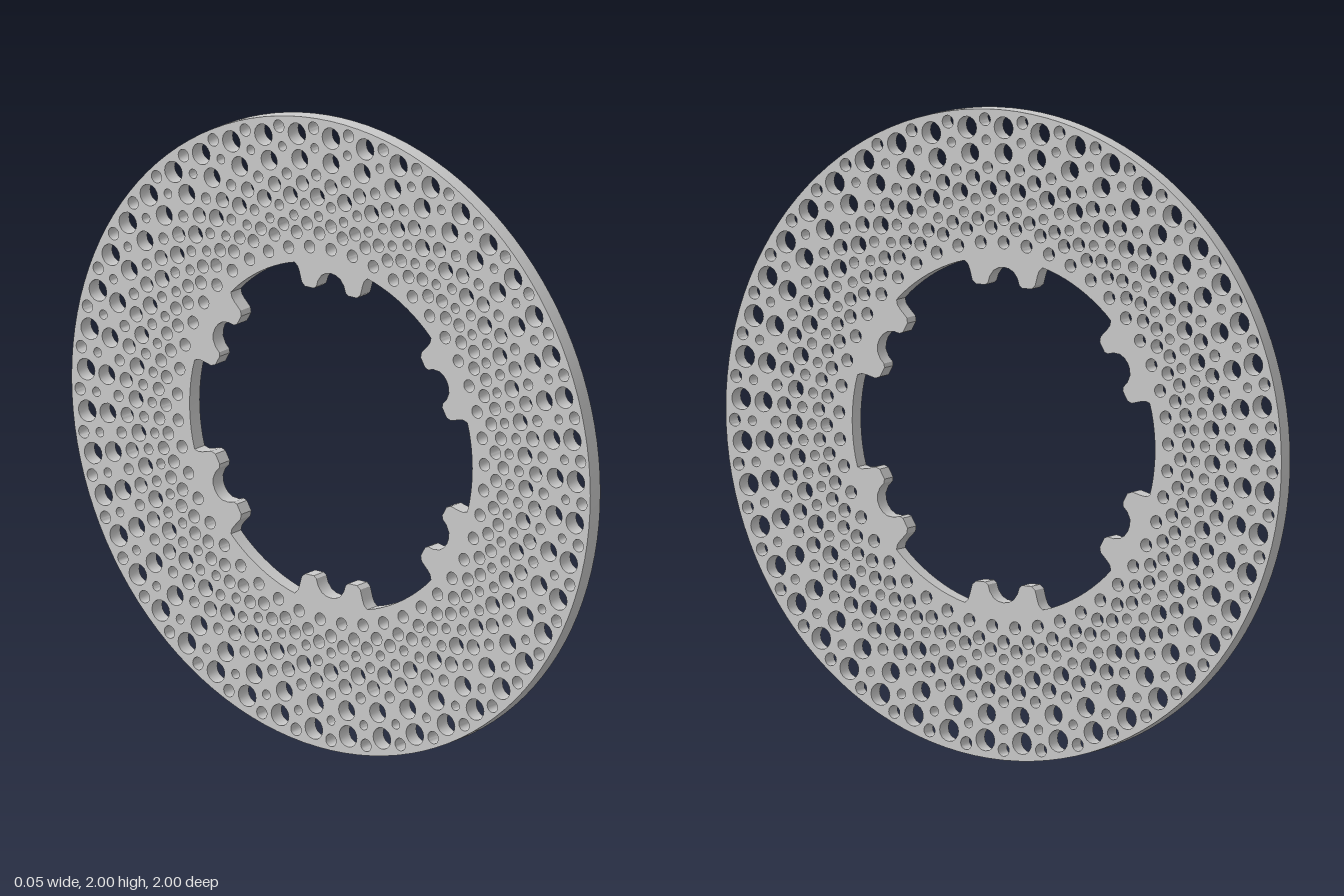
import * as THREE from 'three';
import { toCreasedNormals } from 'three/addons/utils/BufferGeometryUtils.js';

const THICKNESS = 0.05;
const BORE = 0.545;
const SECTORS = 45;

// [distance from centre, hole radius] along the two alternating spokes
const SPOKE_A = [[0.945, 0.034], [0.865, 0.031], [0.79, 0.024], [0.725, 0.017], [0.665, 0.021], [0.592, 0.02]];
const SPOKE_B = [[0.968, 0.02], [0.905, 0.015], [0.82, 0.018], [0.752, 0.027], [0.69, 0.016], [0.637, 0.021]];

// Half of a twin lug: sideways offset, distance from centre
const LUG = [[0.14, 0.526], [0.128, 0.515], [0.122, 0.5], [0.113, 0.468], [0.1, 0.457], [0.066, 0.457],
  [0.056, 0.465], [0.05, 0.485], [0.036, 0.504], [0.019, 0.513], [0, 0.516]];

// Bore outline: six twin lugs joined by arcs
function boreOutline() {
  const points = [];
  const half = [...LUG, ...LUG.slice(0, -1).reverse().map(([u, v]) => [-u, v])];
  const lugAngle = Math.atan2(LUG[0][0], LUG[0][1]);
  for (let k = 0; k < 6; k++) {
    const a = k * Math.PI / 3;
    for (const [u, v] of half) {
      points.push(new THREE.Vector2(
        v * Math.sin(a) - u * Math.cos(a),
        v * Math.cos(a) + u * Math.sin(a)));
    }
    const span = Math.PI / 3 - 2 * lugAngle;
    for (let i = 1; i < 10; i++) {
      const t = a + lugAngle + span * i / 10;
      points.push(new THREE.Vector2(BORE * Math.sin(t), BORE * Math.cos(t)));
    }
  }
  return new THREE.Path(points);
}

function circle(x, y, r, n) {
  return Array.from({ length: n }, (_, i) => {
    const t = i / n * Math.PI * 2;
    return new THREE.Vector2(x + r * Math.cos(t), y + r * Math.sin(t));
  });
}

export function createModel() {
  const group = new THREE.Group();
  group.name = 'perforatedDisc';

  const shape = new THREE.Shape(circle(0, 0, 1, 120));
  shape.holes.push(boreOutline());

  // Perforations, repeated around the disc
  for (let i = 0; i < SECTORS * 2; i++) {
    const a = i * Math.PI / SECTORS;
    for (const [d, r] of i % 2 ? SPOKE_B : SPOKE_A) {
      shape.holes.push(new THREE.Path(circle(d * Math.sin(a), d * Math.cos(a), r, 16)));
    }
  }

  let geometry = new THREE.ExtrudeGeometry(shape, { depth: THICKNESS, bevelEnabled: false });
  geometry.translate(0, 0, -THICKNESS / 2);
  geometry.rotateY(Math.PI / 2);
  geometry.translate(0, 1, 0);
  geometry = toCreasedNormals(geometry, 0.5);

  const disc = new THREE.Mesh(geometry, new THREE.MeshStandardMaterial({ color: 0xcccccc }));
  disc.name = 'disc';
  group.add(disc);
  return group;
}
